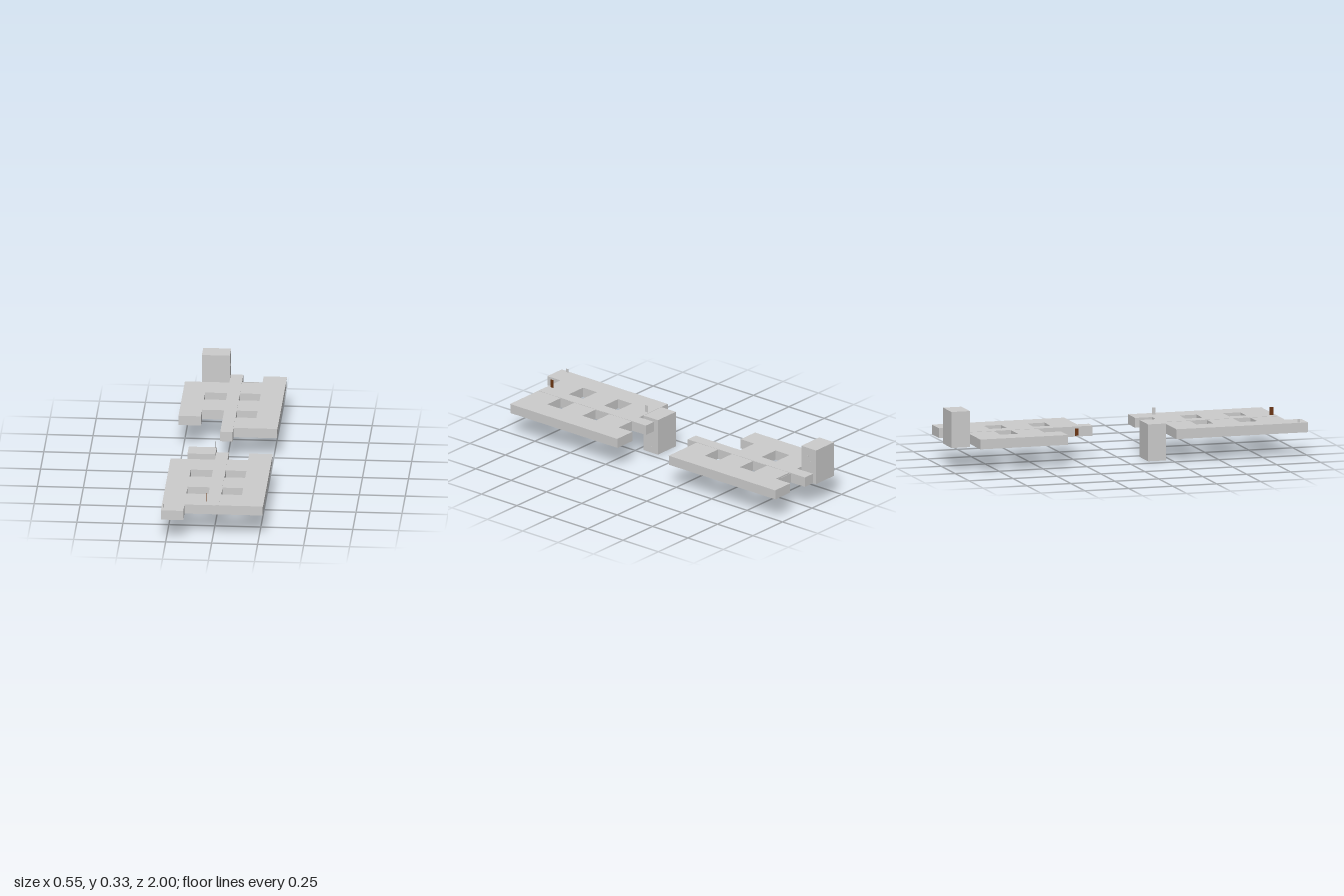
import * as THREE from 'three';

const FLOOR = 0.13, ROOF = 0.184, LIP = 0.002;
const grey = new THREE.MeshStandardMaterial({ color: 0xcccccc, flatShading: true });
const brown = new THREE.MeshStandardMaterial({ color: 0x6b3410, flatShading: true });

// box given by its extents on each axis
function box(name, [x0, x1], [y0, y1], [z0, z1], material = grey) {
  const mesh = new THREE.Mesh(new THREE.BoxGeometry(x1 - x0, y1 - y0, z1 - z0), material);
  mesh.position.set((x0 + x1) / 2, (y0 + y1) / 2, (z0 + z1) / 2);
  mesh.name = name;
  return mesh;
}

// flat slab from a clockwise [x, z] outline; courtyards run the other way so their walls face inward
function slab(name, outline, courtyards, y0, y1) {
  const toPoints = (list) => list.map(([x, z]) => new THREE.Vector2(x, -z));
  const shape = new THREE.Shape(toPoints(outline));
  for (const [x0, x1, z0, z1] of courtyards) {
    shape.holes.push(new THREE.Path(toPoints([[x0, z0], [x0, z1], [x1, z1], [x1, z0]])));
  }
  const geometry = new THREE.ExtrudeGeometry(shape, { depth: y1 - y0, bevelEnabled: false });
  geometry.rotateX(-Math.PI / 2);
  const mesh = new THREE.Mesh(geometry, grey);
  mesh.position.y = y0;
  mesh.name = name;
  return mesh;
}

const CORRIDOR = [-0.034, 0.034], TOWER = [-0.186, -0.034];
const LEFT_YARD = [-0.155, -0.035], RIGHT_YARD = [0.035, 0.147];

function frontFloor() {
  const group = new THREE.Group();
  group.name = 'frontFloor';
  // walls are set back slightly under the roof on the +x side and +z end
  const outline = (e, f) => [
    [-0.276, 0.25], [-0.034, 0.25], [-0.034, 0.146], [0.034, 0.146], [0.034, 0.245],
    [0.145, 0.245], [0.145, 0.149], [e, 0.149], [e, f], [-0.154, f], [-0.154, 1], [-0.276, 1],
  ];
  const yards = [[0.402, 0.5], [0.65, 0.748]].flatMap((z) => [[...LEFT_YARD, ...z], [...RIGHT_YARD, ...z]]);
  group.add(
    slab('walls', outline(0.27, 0.904), yards, FLOOR, ROOF - LIP),
    slab('roof', outline(0.2725, 0.907), yards, ROOF - LIP, ROOF),
    box('corridorRoof', CORRIDOR, [ROOF, ROOF + 0.0015], [0.146, 0.906]),
    box('stairTower', TOWER, [0, 0.203], [0.118, 0.219]),
    box('towerFitting', [-0.034, -0.033], [0.025, 0.035], [0.16, 0.17]),
    // loose door leaves
    box('brownDoor', [-0.036, -0.034], [0.192, 0.237], [0.858, 0.878], brown),
    box('greyDoor', [-0.035, -0.034], [0.229, 0.268], [0.188, 0.208]),
    box('smallPost', [-0.2645, -0.2635], [ROOF, 0.204], [0.944, 0.958]),
  );
  return group;
}

function backFloor() {
  const group = new THREE.Group();
  group.name = 'backFloor';
  const outline = (e) => [
    [-0.276, -0.865], [-0.034, -0.865], [-0.034, -0.978], [0.034, -0.978], [0.034, -0.867],
    [0.145, -0.867], [0.145, -0.967], [e, -0.967], [e, -0.214], [0.034, -0.214], [0.034, -0.15],
    [-0.034, -0.15], [-0.034, -0.463], [-0.154, -0.463], [-0.154, -0.367], [-0.276, -0.367],
  ];
  const yards = [
    [...LEFT_YARD, -0.712, -0.613], [...RIGHT_YARD, -0.712, -0.613], [...RIGHT_YARD, -0.463, -0.365],
  ];
  group.add(
    slab('walls', outline(0.27), yards, FLOOR, ROOF - LIP),
    slab('roof', outline(0.2725), yards, ROOF - LIP, ROOF),
    box('corridorRoof', CORRIDOR, [ROOF, ROOF + 0.0015], [-0.978, -0.15]),
    box('thinWall', [0.034, 0.145], [FLOOR, ROOF], [-0.88, -0.878]),
    box('stairTower', TOWER, [FLOOR, 0.328], [-1, -0.896]),
    box('brownDoor', [-0.036, -0.034], [0.135, 0.174], [-0.25, -0.23], brown),
  );
  // small fittings on the inner face of the tower
  for (const [y, z] of [[0.28, -0.945], [0.25, -0.96]]) {
    group.add(box('towerFitting', [-0.034, -0.033], [y - 0.005, y + 0.005], [z - 0.004, z + 0.004]));
  }
  return group;
}

export function createModel() {
  const model = new THREE.Group();
  model.name = 'buildingFloors';
  model.add(frontFloor(), backFloor());
  return model;
}
